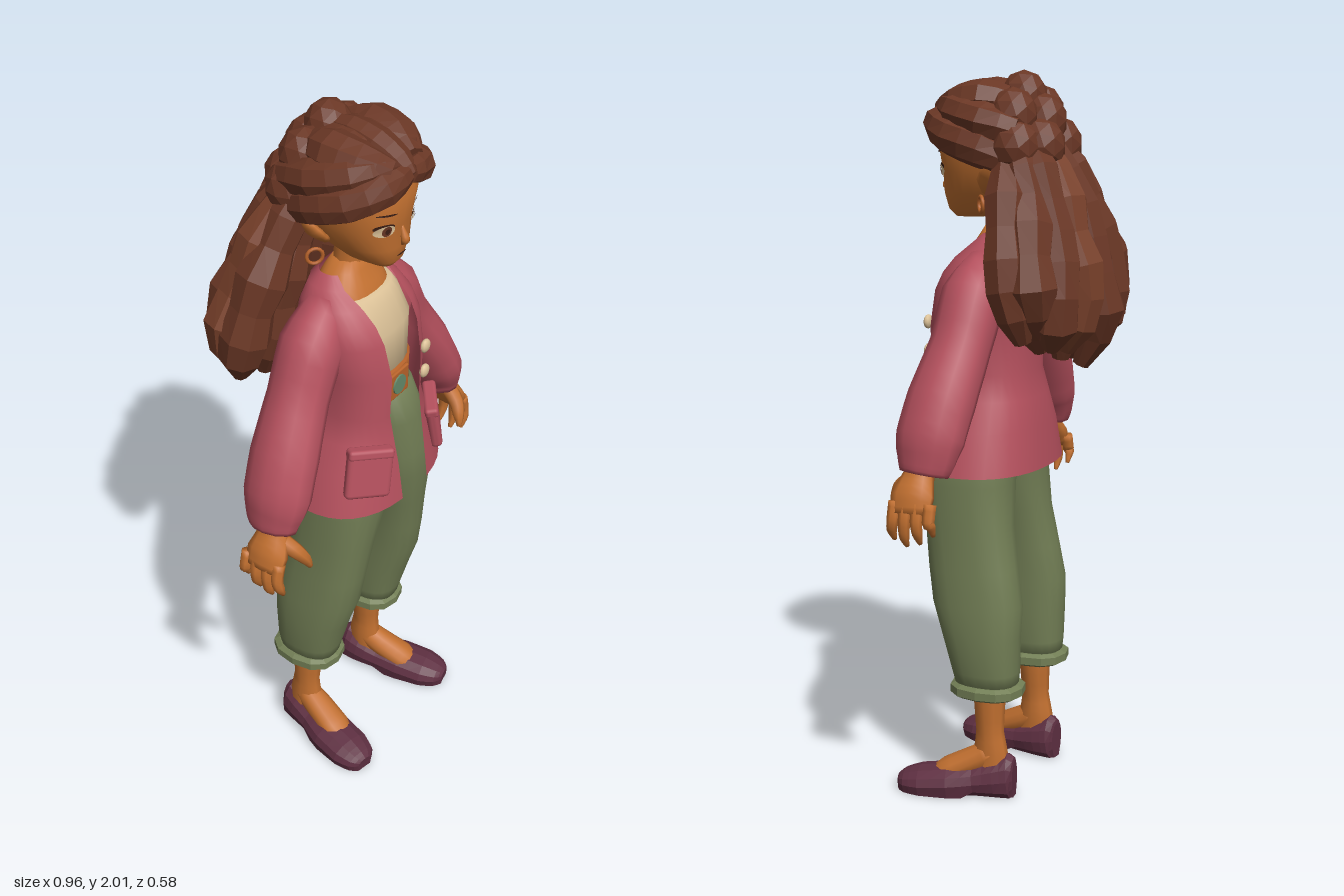
import * as THREE from 'three';
import { RoundedBoxGeometry } from 'three/addons/geometries/RoundedBoxGeometry.js';

const mat = (name, color, side = THREE.FrontSide) => {
  const m = new THREE.MeshStandardMaterial({ color, side });
  m.name = name;
  return m;
};
const V = (x, y, z) => new THREE.Vector3(x, y, z);

// Skin a list of point rows; wraps around and caps the ends unless open
function skinRows(rows, open = false) {
  const n = rows[0].length, pos = rows.flat().flatMap(p => [p.x, p.y, p.z]), idx = [];
  for (let i = 0; i < rows.length - 1; i++) {
    for (let j = 0; j < (open ? n - 1 : n); j++) {
      const k = (j + 1) % n, a = i * n + j, b = i * n + k;
      idx.push(a, b, a + n, b, b + n, a + n);
    }
  }
  if (!open) [0, rows.length - 1].forEach((r, end) => {
    const c = rows[r].reduce((s, p) => s.add(p), V(0, 0, 0)).divideScalar(n);
    const ci = pos.length / 3;
    pos.push(c.x, c.y, c.z);
    for (let j = 0; j < n; j++) {
      const a = r * n + j, b = r * n + (j + 1) % n;
      idx.push(ci, end ? a : b, end ? b : a);
    }
  });
  const g = new THREE.BufferGeometry();
  g.setAttribute('position', new THREE.Float32BufferAttribute(pos, 3));
  g.setIndex(idx);
  g.computeVertexNormals();
  return g;
}

// Horizontal rings, bottom to top: [y, centreX, zBack, zFront, halfWidth, frontGap]
const EXP = 2.4;
const sup = v => Math.sign(v) * Math.abs(v) ** (2 / EXP);
function loft(rings, seg = 24, open = false) {
  return skinRows(rings.map(([y, cx, z0, z1, rx, gap = 0]) => {
    const a0 = open ? Math.asin((gap / rx) ** (EXP / 2)) : 0;
    return Array.from({ length: open ? seg + 1 : seg }, (_, j) => {
      const a = a0 + (j / seg) * (Math.PI * 2 - 2 * a0);
      return V(cx + rx * sup(Math.sin(a)), y, (z0 + z1) / 2 + (z1 - z0) / 2 * sup(Math.cos(a)));
    });
  }), open);
}

// Tapering tube along a smooth path: [x, y, z, radiusA, radiusB]
function limb(pts, seg = 10, steps = 3, ref = V(0, 0, 1)) {
  const path = new THREE.CatmullRomCurve3(pts.map(p => V(p[0], p[1], p[2])), false, 'catmullrom');
  const n = (pts.length - 1) * steps, rows = [];
  for (let i = 0; i <= n; i++) {
    const k = Math.min(Math.floor(i / steps), pts.length - 2), f = i / steps - k;
    const rad = c => THREE.MathUtils.lerp(pts[k][c] ?? pts[k][3], pts[k + 1][c] ?? pts[k + 1][3], f);
    const c = path.getPoint(i / n), t = path.getTangent(i / n);
    const u = ref.clone().cross(t).normalize(), v = t.clone().cross(u);
    rows.push(Array.from({ length: seg }, (_, j) => {
      const a = j / seg * Math.PI * 2;
      return c.clone().addScaledVector(u, rad(3) * Math.cos(a)).addScaledVector(v, rad(4) * Math.sin(a));
    }));
  }
  return skinRows(rows);
}

const facet = g => {
  const f = g.index ? g.toNonIndexed() : g;
  f.computeVertexNormals();
  return f;
};

const HEAD = [[1.615, 0, 0.11, 0.195, 0.03], [1.635, 0, 0.05, 0.212, 0.06], [1.68, 0, -0.02, 0.22, 0.095],
  [1.74, 0, -0.07, 0.22, 0.12], [1.82, 0, -0.1, 0.232, 0.138], [1.9, 0, -0.08, 0.2, 0.125], [1.95, 0, -0.02, 0.12, 0.07]];

// Depth of the face surface at x, y
function faceZ(x, y) {
  const i = Math.max(0, HEAD.findIndex(r => r[0] > y) - 1), f = (y - HEAD[i][0]) / (HEAD[i + 1][0] - HEAD[i][0]);
  const [, , z0, z1, rx] = HEAD[i].map((v, k) => THREE.MathUtils.lerp(v, HEAD[i + 1][k], f));
  return (z0 + z1) / 2 + (z1 - z0) / 2 * Math.max(0, 1 - Math.abs(x / rx) ** EXP) ** (1 / EXP);
}

export function createModel() {
  const root = new THREE.Group();
  const skin = mat('skin', 0xc27030), hair = mat('hair', 0x6a3725), hairLight = mat('lightHair', 0x78402a);
  const jacket = mat('jacket', 0xb4505d, THREE.DoubleSide), pants = mat('pants', 0x727e55), shoe = mat('shoe', 0x5f3042);
  const cream = mat('cream', 0xdcc298), leather = mat('leather', 0xb8632a), teal = mat('teal', 0x64896a), dark = mat('dark', 0x3f2016);
  const add = (name, g, m, parent = root) => {
    const o = new THREE.Mesh(g, m);
    o.name = name;
    parent.add(o);
    return o;
  };

  // Head, neck and chest
  add('head', loft(HEAD, 28), skin);
  add('neck', limb([[0, 1.5, 0.055, 0.055], [0, 1.58, 0.06, 0.043], [0, 1.7, 0.07, 0.042]]), skin);
  add('chest', loft([[1.45, 0, -0.01, 0.17, 0.12], [1.51, 0, -0.01, 0.148, 0.11], [1.54, 0, -0.01, 0.132, 0.1],
    [1.575, 0, 0.005, 0.112, 0.068], [1.6, 0, 0.02, 0.1, 0.04]]), skin);
  add('nose', limb([[0, 1.735, 0.216, 0.004], [0, 1.71, 0.224, 0.01], [0, 1.696, 0.228, 0.012], [0, 1.682, 0.216, 0.005]], 8), skin);

  // Painted face details that follow the head surface
  const paint = (name, x, y, rx, ry, m, lift, tilt = 0) => {
    const g = new THREE.CircleGeometry(1, 16).scale(rx, ry, 1).rotateZ(tilt).translate(x, y, 0), p = g.attributes.position;
    for (let i = 0; i < p.count; i++) p.setZ(i, faceZ(p.getX(i), p.getY(i)) + lift);
    g.computeVertexNormals();
    add(name, g, m);
  };
  paint('mouth', 0, 1.657, 0.02, 0.003, dark, 0.004);
  for (const s of [1, -1]) {
    paint('eyeLid', s * 0.064, 1.752, 0.027, 0.011, dark, 0.003, s * 0.1);
    paint('eyeWhite', s * 0.064, 1.743, 0.026, 0.016, cream, 0.005);
    paint('iris', s * 0.062, 1.744, 0.012, 0.015, hair, 0.007);
    paint('pupil', s * 0.062, 1.744, 0.006, 0.008, dark, 0.009);
    paint('brow', s * 0.065, 1.79, 0.028, 0.003, dark, 0.004, s * 0.12);
    add('ear', limb([[s * 0.1, 1.69, 0.06, 0.01, 0.015], [s * 0.125, 1.715, 0.045, 0.014, 0.03],
      [s * 0.145, 1.745, 0.03, 0.012, 0.024], [s * 0.162, 1.775, 0.015, 0.002]], 8), skin);
    add('earring', new THREE.TorusGeometry(0.021, 0.005, 6, 14).rotateY(s * 0.7), leather).position.set(s * 0.143, 1.66, 0.055);
  }

  // Shirt, belt and buckle
  add('shirt', loft([[1.28, 0, -0.02, 0.21, 0.135], [1.42, 0, -0.02, 0.204, 0.15],
    [1.49, 0, -0.02, 0.176, 0.13], [1.518, 0, -0.01, 0.158, 0.113]]), cream);
  add('belt', loft([[1.21, 0, -0.025, 0.216, 0.138], [1.302, 0, -0.025, 0.216, 0.14]]), leather);
  add('buckle', new RoundedBoxGeometry(0.095, 0.08, 0.012, 2, 0.005), leather).position.set(0, 1.256, 0.217);
  add('buckleStone', new THREE.CylinderGeometry(0.028, 0.029, 0.006, 12).rotateX(Math.PI / 2), teal).position.set(0, 1.256, 0.224);

  // Open jacket with buttons on its left
  add('jacketBody', loft([[0.935, 0, -0.082, 0.287, 0.252, 0.06], [1.05, 0, -0.07, 0.272, 0.215, 0.062],
    [1.13, 0, -0.055, 0.26, 0.18, 0.066], [1.2, 0, -0.04, 0.252, 0.155, 0.07], [1.32, 0, -0.04, 0.252, 0.165, 0.068],
    [1.42, 0, -0.045, 0.232, 0.175, 0.076], [1.47, 0, -0.045, 0.208, 0.167, 0.08], [1.51, 0, -0.04, 0.175, 0.148, 0.085],
    [1.55, 0, -0.025, 0.13, 0.118, 0.09], [1.578, 0, 0, 0.1, 0.088, 0.077]], 32, true), jacket);
  for (const y of [1.33, 1.25])
    add('button', new THREE.SphereGeometry(1, 10, 6).scale(0.02, 0.02, 0.011), cream).position.set(0.097, y, 0.24);

  for (const s of [1, -1]) {
    // Sleeve, widest just above the cuff
    add('sleeve', limb([[s * 0.09, 1.495, 0.06, 0.06, 0.06], [s * 0.17, 1.415, 0.065, 0.085, 0.088], [s * 0.24, 1.295, 0.07, 0.075, 0.085],
      [s * 0.322, 1.165, 0.085, 0.077, 0.096], [s * 0.37, 1.07, 0.095, 0.07, 0.097], [s * 0.39, 1.015, 0.097, 0.054, 0.083],
      [s * 0.397, 0.98, 0.1, 0.047, 0.07]], 12), jacket);

    // Pocket with a flap
    const pocket = new THREE.Group();
    pocket.name = 'pocket';
    pocket.position.set(s * 0.158, 1.066, 0.236);
    pocket.rotation.set(-0.16, s * 0.62, s * 0.14, 'YXZ');
    add('pocketBag', new RoundedBoxGeometry(0.128, 0.145, 0.034, 2, 0.014), jacket, pocket);
    add('pocketFlap', new RoundedBoxGeometry(0.128, 0.03, 0.038, 2, 0.01), jacket, pocket).position.y = 0.058;
    root.add(pocket);

    // Hand
    add('palm', limb([[s * 0.392, 1.02, 0.105, 0.03, 0.035], [s * 0.41, 0.975, 0.11, 0.029, 0.045], [s * 0.44, 0.93, 0.112, 0.028, 0.062],
      [s * 0.46, 0.885, 0.11, 0.018, 0.058]], 10), skin);
    [0.055, 0.09, 0.125, 0.158].forEach((z, i) => {
      const tip = [0.83, 0.805, 0.795, 0.81][i], zt = 0.1 + (z - 0.1) * 1.1;
      add('finger', limb([[s * 0.452, 0.915, z, 0.017], [s * 0.464, 0.87, z, 0.017], [s * 0.46, tip + 0.03, zt, 0.014], [s * 0.445, tip, zt, 0.006]], 7), skin);
    });
    add('thumb', limb([[s * 0.415, 0.965, 0.13, 0.025], [s * 0.4, 0.935, 0.17, 0.022], [s * 0.383, 0.905, 0.19, 0.017], [s * 0.372, 0.875, 0.2, 0.007]], 7), skin);

    // Trouser leg and rolled cuff
    add('trouserLeg', loft([[0.32, 0.155, -0.05, 0.125, 0.065], [0.37, 0.155, -0.055, 0.137, 0.076], [0.47, 0.157, -0.058, 0.165, 0.082],
      [0.56, 0.152, -0.062, 0.195, 0.084], [0.66, 0.145, -0.045, 0.21, 0.083], [0.78, 0.13, -0.025, 0.225, 0.09], [0.9, 0.113, -0.02, 0.243, 0.106],
      [0.98, 0.104, -0.025, 0.243, 0.11], [1.1, 0.08, -0.025, 0.232, 0.1], [1.22, 0.055, -0.02, 0.212, 0.08]]
      .map(([y, cx, ...r]) => [y, s * cx, ...r]), 20), pants);
    add('trouserCuff', facet(loft([[0.298, s * 0.155, -0.055, 0.125, 0.074], [0.306, s * 0.155, -0.07, 0.14, 0.086],
      [0.328, s * 0.155, -0.07, 0.14, 0.086], [0.336, s * 0.155, -0.055, 0.125, 0.074]], 12)), pants);

    // Shin, foot and slip-on shoe
    add('shin', limb([[s * 0.155, 0.36, 0.03, 0.045, 0.047], [s * 0.155, 0.29, 0.03, 0.042, 0.046], [s * 0.158, 0.19, 0.028, 0.034, 0.04],
      [s * 0.158, 0.12, 0.026, 0.036, 0.052], [s * 0.16, 0.06, 0.03, 0.036, 0.06]]), skin);
    add('instep', limb([[s * 0.158, 0.125, 0.02, 0.034, 0.04], [s * 0.168, 0.094, 0.08, 0.042, 0.038], [s * 0.184, 0.06, 0.15, 0.047, 0.035],
      [s * 0.196, 0.032, 0.2, 0.03, 0.02]], 12, 3, V(0, 1, 0)), skin);
    const sole = limb([[s * 0.15, 0.055, -0.044, 0.026, 0.05], [s * 0.152, 0.055, -0.03, 0.044, 0.072], [s * 0.158, 0.05, 0.01, 0.052, 0.062],
      [s * 0.17, 0.042, 0.07, 0.056, 0.048], [s * 0.19, 0.036, 0.14, 0.068, 0.046], [s * 0.208, 0.028, 0.22, 0.067, 0.042],
      [s * 0.218, 0.024, 0.265, 0.05, 0.03], [s * 0.222, 0.022, 0.284, 0.026, 0.018]], 12, 2, V(0, 1, 0));
    const p = sole.attributes.position;
    for (let i = 0; i < p.count; i++) p.setY(i, p.getY(i) < 0.018 ? 0 : p.getY(i));
    add('shoe', facet(sole), shoe);
  }

  // Hair cap over the skull
  add('hairCap', facet(new THREE.SphereGeometry(1, 16, 8, 0, Math.PI * 2, 0, 1.7).scale(0.16, 0.125, 0.165).rotateX(-0.35).translate(0, 1.845, 0.045)), hair);

  // Swept-back front locks on each side and down the middle
  const X = V(1, 0, 0), Y = V(0, 1, 0);
  for (const s of [1, -1]) {
    add('frontLock', facet(limb([[s * 0.005, 1.882, 0.225, 0.028, 0.03], [s * 0.075, 1.868, 0.218, 0.037, 0.044], [s * 0.137, 1.835, 0.145, 0.044, 0.052],
      [s * 0.15, 1.805, 0.05, 0.042, 0.052], [s * 0.13, 1.765, -0.035, 0.03, 0.04]], 8, 2, Y)), hair);
    add('sideLock', facet(limb([[s * 0.05, 1.915, 0.195, 0.03], [s * 0.11, 1.9, 0.14, 0.05], [s * 0.14, 1.875, 0.05, 0.052],
      [s * 0.12, 1.85, -0.04, 0.045]], 8, 2, Y)), hair);
    add('crownLock', facet(limb([[s * 0.07, 1.92, 0.01, 0.045, 0.045], [s * 0.085, 1.93, 0.07, 0.066, 0.055], [s * 0.077, 1.92, 0.14, 0.062, 0.05],
      [s * 0.045, 1.895, 0.21, 0.035, 0.035]], 8, 2, Y)), hair);
  }
  add('middleLock', facet(limb([[0, 1.94, 0.01, 0.03, 0.035], [0, 1.945, 0.07, 0.045, 0.043], [0, 1.932, 0.14, 0.05, 0.043],
    [0, 1.905, 0.2, 0.042, 0.036], [0, 1.875, 0.237, 0.022, 0.022]], 8, 2, Y)), hair);

  // Gathered curls at the back of the crown: [x, y, z, radius]
  for (const [x, y, z, r] of [[0.01, 1.935, -0.01, 0.068], [-0.085, 1.895, -0.015, 0.07], [0.09, 1.89, -0.015, 0.07], [0.01, 1.875, -0.065, 0.07],
    [-0.115, 1.815, -0.035, 0.07], [0.12, 1.81, -0.035, 0.07], [0.06, 1.81, -0.08, 0.072], [-0.055, 1.81, -0.08, 0.072]])
    add('crownCurl', facet(new THREE.IcosahedronGeometry(r, 1).scale(0.95, 1.05, 0.95).translate(x, y, z)), hair);

  // Long wavy strands fanning down the back, in an outer and an inner layer
  const strand = (phi, k, i, m) => {
    const sn = Math.sin(phi) * k, cs = Math.cos(phi) * k, drop = 0.09 * Math.abs(sn) + 0.02 * (i % 2);
    const bump = j => 1 + 0.12 * Math.sin(j * 2.6 + i * 1.9);
    const pts = [[0.11, 1.83, 0.0, 0.075, 0.03], [0.145, 1.74, -0.02, 0.1, 0.052], [0.175, 1.65, -0.035, 0.12, 0.06], [0.205, 1.56, -0.045, 0.133, 0.064],
      [0.235, 1.47, -0.057, 0.147, 0.066], [0.26, 1.38, -0.067, 0.15, 0.066], [0.255, 1.3, -0.083, 0.115, 0.058], [0.23, 1.22, -0.095, 0.065, 0.022]];
    add('strand', facet(limb(pts.map(([rx, y, z, rz, r], j) =>
      [rx * sn - 0.03 * j / 7 + 0.008 * Math.sin(j * 1.5 + i * 2), y + drop * j / 7, z - rz * cs, r * bump(j)]), 8, 1, X)), m);
  };
  for (let i = 0; i < 9; i++) strand((i / 4 - 1) * 1.55, 1, i, i % 4 === 1 ? hairLight : hair);
  for (let i = 0; i < 7; i++) strand((i / 3 - 1) * 1.5, 0.55, i, hair);

  return root;
}
